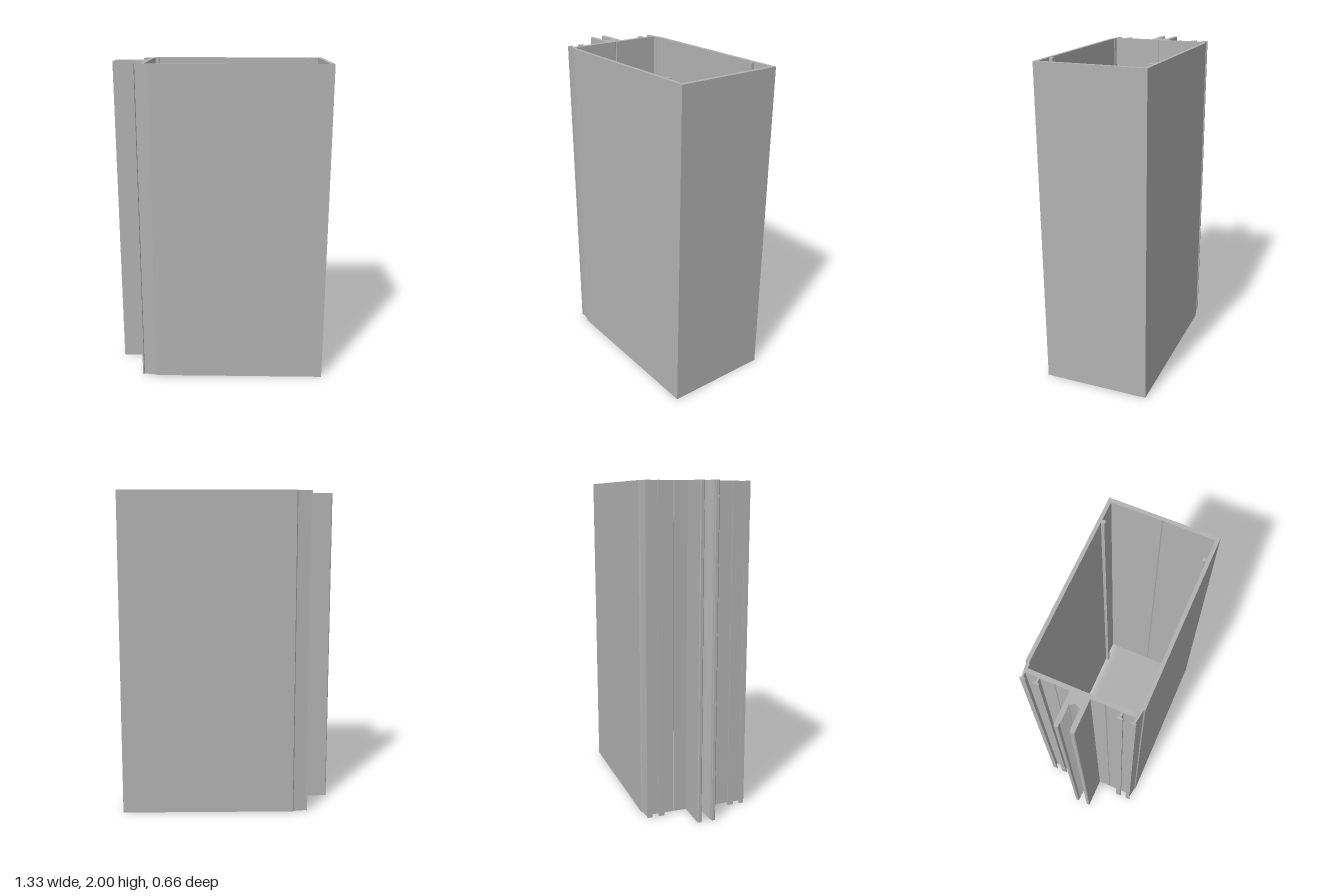
import * as THREE from 'three';

// Closes a half outline by mirroring it across the profile's centre line.
function mirrored(half) {
  const other = half.filter(([, d]) => d > 0).reverse().map(([x, d]) => [x, -d]);
  return [...half, ...other].map(([x, d]) => new THREE.Vector2(x, d));
}

export function createModel() {
  const group = new THREE.Group();
  const aluminium = new THREE.MeshStandardMaterial({ color: 0xb2b2b2 });
  aluminium.name = 'aluminium grey';

  // Gripping teeth along the inside of each fork arm
  const teeth = [];
  const count = 11, from = -0.643, to = -0.54, pitch = (to - from) / count;
  for (let i = 0; i < count; i++) {
    teeth.push([from + i * pitch, 0.032], [from + (i + 0.5) * pitch, 0.027]);
  }

  // Outside of the profile: half outline from right wall to the fork's throat
  const outer = [
    [0.663, 0], [0.663, 0.332], [-0.412, 0.332], [-0.417, 0.325],
    // sloping edge flange with its hooked lip
    [-0.494, 0.313], [-0.497, 0.32], [-0.505, 0.32], [-0.505, 0.29], [-0.495, 0.29],
    [-0.495, 0.302], [-0.467, 0.306],
    // T-shaped gasket rib
    [-0.467, 0.237], [-0.495, 0.237], [-0.495, 0.248], [-0.505, 0.248],
    [-0.505, 0.212], [-0.495, 0.212], [-0.495, 0.224], [-0.467, 0.224],
    // small marking groove
    [-0.467, 0.143], [-0.463, 0.14], [-0.467, 0.137],
    // fork arm with toothed inner side
    [-0.467, 0.057], [-0.661, 0.057], [-0.666, 0.052], [-0.666, 0.036], [-0.662, 0.032],
    ...teeth, [to, 0.032], [-0.536, 0.03], [-0.52, 0],
  ];

  // Hollow chamber, with a screw boss on each long wall
  const inner = [
    [0.642, 0], [0.638, 0.004], [0.638, 0.31],
    [0.514, 0.31], [0.514, 0.303], [0.517, 0.3], [0.517, 0.288],
    [0.491, 0.288], [0.491, 0.3], [0.494, 0.303], [0.494, 0.31],
    [-0.415, 0.31], [-0.418, 0.304], [-0.442, 0.304], [-0.442, 0.004], [-0.446, 0],
  ];

  const section = new THREE.Shape(mirrored(outer));
  section.holes.push(new THREE.Path(mirrored(inner)));

  // Extrude the section to full height and stand it upright
  const geometry = new THREE.ExtrudeGeometry(section, { depth: 2, bevelEnabled: false });
  geometry.rotateX(-Math.PI / 2);
  const mesh = new THREE.Mesh(geometry, aluminium);
  mesh.name = 'hollowFrameProfile';
  group.add(mesh);
  return group;
}
